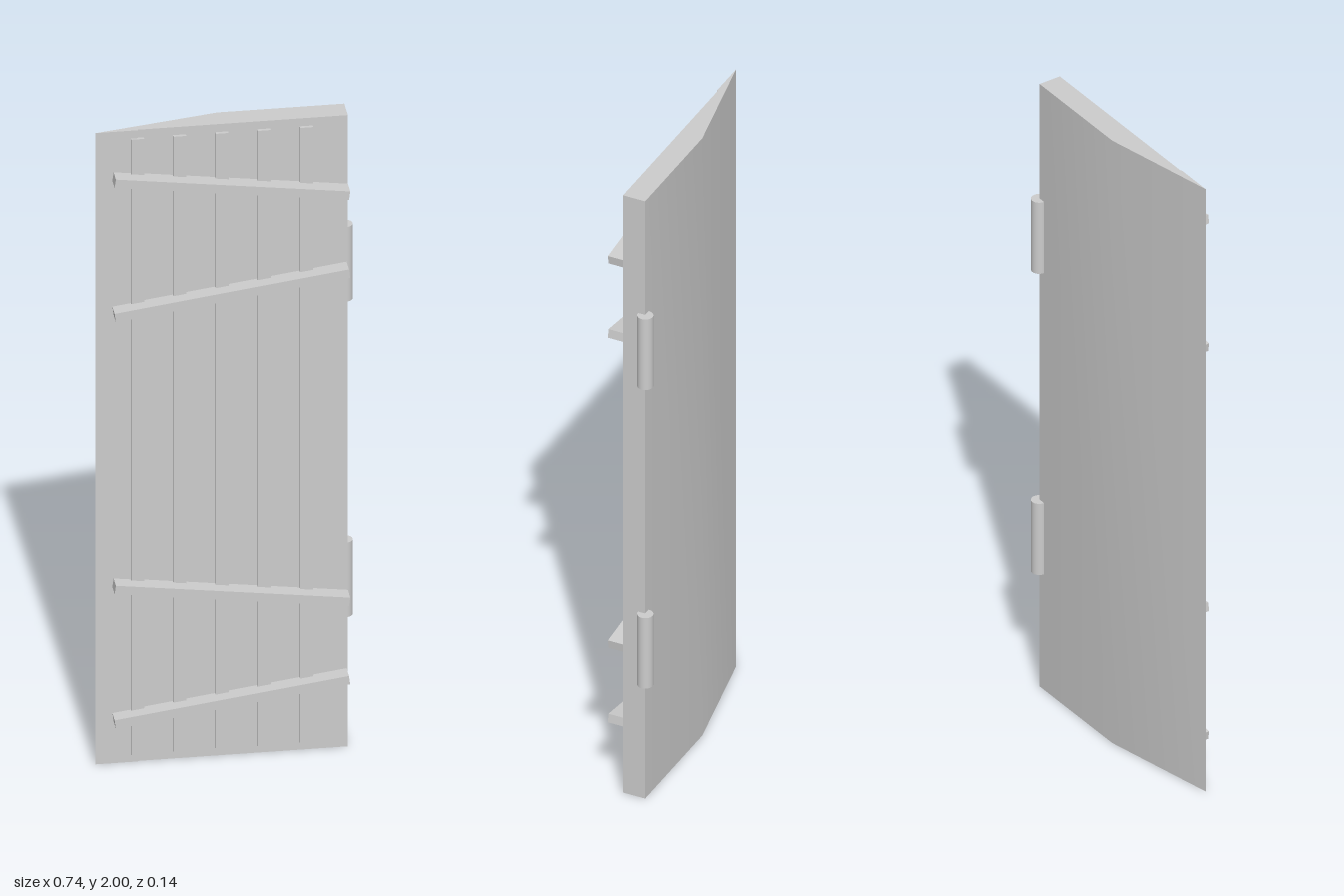
import * as THREE from 'three';
import { toCreasedNormals } from 'three/addons/utils/BufferGeometryUtils.js';

export function createModel() {
  const group = new THREE.Group();
  const grey = new THREE.MeshStandardMaterial({ color: 0xcccccc });
  grey.name = 'light grey';

  function add(name, geometry, x, y, z) {
    const mesh = new THREE.Mesh(geometry, grey);
    mesh.name = name;
    mesh.position.set(x, y, z);
    group.add(mesh);
    return mesh;
  }

  // Door leaf: plan outline (x, z) tapering to a thin edge, extruded upwards
  const outline = [
    [-0.37, 0.024], [-0.25, 0.024], [-0.25, 0.021],
    [0.344, 0.021], [0.344, -0.048], [-0.014, -0.048],
  ];
  const shape = new THREE.Shape(outline.map(([x, z]) => new THREE.Vector2(x, -z)));
  const leaf = new THREE.ExtrudeGeometry(shape, { depth: 2, bevelEnabled: false });
  leaf.rotateX(-Math.PI / 2);
  // Only the shallow ridge on the back is smoothed
  add('doorLeaf', toCreasedNormals(leaf, Math.PI / 9), 0, 0, 0);

  // Thin upright battens on the front
  for (let i = 0; i < 5; i++) {
    add('batten', new THREE.BoxGeometry(0.037, 1.95, 0.012), -0.251 + i * 0.1193, 1, 0.025);
  }

  // Slanted braces, in two converging pairs: centre height and slope direction
  for (const [y, slope] of [[1.814, -1], [1.478, 1], [0.527, -1], [0.19, 1]]) {
    const brace = add('brace', new THREE.BoxGeometry(0.668, 0.027, 0.048), 0.011, y, 0.044);
    brace.rotation.z = slope * 0.134;
  }

  // Hinge barrels on the back edge
  for (const y of [0.502, 1.502]) {
    add('hingeBarrel', new THREE.CylinderGeometry(0.023, 0.023, 0.236, 32), 0.345, y, -0.049);
  }
  return group;
}
